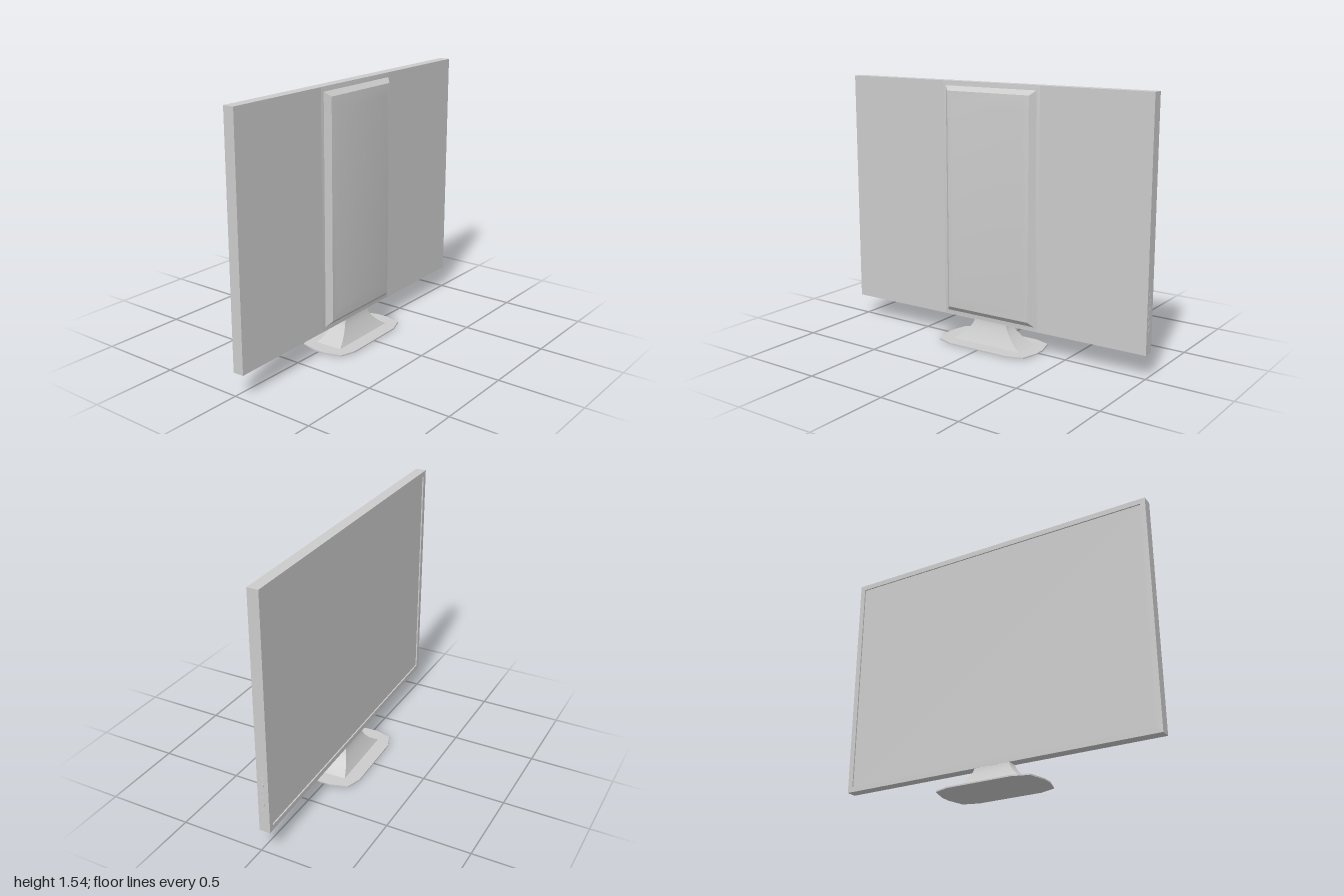
import * as THREE from 'three';
import { toCreasedNormals } from 'three/addons/utils/BufferGeometryUtils.js';

const material = new THREE.MeshStandardMaterial({ color: 0xcccccc });

function add(parent, name, geometry, x = 0, y = 0, z = 0) {
  const mesh = new THREE.Mesh(geometry, material);
  mesh.name = name;
  mesh.position.set(x, y, z);
  parent.add(mesh);
  return mesh;
}

// Joins rectangles [halfX, low, high, z] stacked along +z, and caps the last one.
function loftRectangles(rings, crease) {
  const positions = [];
  const index = [];
  for (const [w, low, high, z] of rings) {
    positions.push(-w, low, z, w, low, z, w, high, z, -w, high, z);
  }
  for (let r = 0; r < rings.length - 1; r++) {
    for (let i = 0; i < 4; i++) {
      const a = r * 4 + i, b = r * 4 + (i + 1) % 4;
      index.push(a, b, b + 4, a, b + 4, a + 4);
    }
  }
  const t = (rings.length - 1) * 4;
  index.push(t, t + 1, t + 2, t, t + 2, t + 3);
  const geometry = new THREE.BufferGeometry();
  geometry.setAttribute('position', new THREE.Float32BufferAttribute(positions, 3));
  geometry.setIndex(index);
  return toCreasedNormals(geometry, crease);
}

function rectanglePath(path, w, h) {
  path.moveTo(-w, -h);
  path.lineTo(w, -h);
  path.lineTo(w, h);
  path.lineTo(-w, h);
  path.closePath();
  return path;
}

export function createModel() {
  const model = new THREE.Group();
  model.name = 'monitor';
  // The whole monitor is turned slightly on its base
  const turned = new THREE.Group();
  turned.name = 'turnedMonitor';
  turned.rotation.y = 0.0275;
  model.add(turned);

  // Panel, with the screen recessed inside a thin bezel at the back (-z)
  const bottom = 0.135, top = 1.54;
  const middle = (bottom + top) / 2, half = (top - bottom) / 2;
  const recess = 0.008;
  add(turned, 'panelAndScreen', new THREE.BoxGeometry(2, half * 2, 0.065 - recess), 0, middle, recess / 2);
  const frame = rectanglePath(new THREE.Shape(), 1, half);
  frame.holes.push(rectanglePath(new THREE.Path(), 0.968, half - 0.032));
  add(turned, 'bezel', new THREE.ExtrudeGeometry(frame, { depth: recess, bevelEnabled: false }), 0, middle, -0.0325);

  // Raised housing: soft skirt, steep bevel, gently domed cover
  add(turned, 'rearHousing', loftRectangles([
    [0.325, 0.14, 1.538, 0.0326],
    [0.305, 0.162, 1.513, 0.036],
    [0.275, 0.193, 1.486, 0.066],
    [0.235, 0.27, 1.42, 0.073],
  ], 0.5));

  // Column of buttons on the left edge
  for (let i = 0; i < 6; i++) {
    add(turned, 'button', new THREE.BoxGeometry(0.006, 0.016, 0.022), 0.999, 0.27 + i * 0.0405, 0.003);
  }

  // Flared neck, lofted upwards along a concave curve
  const rings = [];
  const flare = new THREE.CatmullRomCurve3([
    new THREE.Vector3(0.236, 0.006, 0.085),
    new THREE.Vector3(0.195, 0.032, 0.071),
    new THREE.Vector3(0.15, 0.072, 0.052),
    new THREE.Vector3(0.118, 0.115, 0.036),
    new THREE.Vector3(0.108, 0.145, 0.03),
  ]);
  for (const p of flare.getPoints(12)) rings.push([p.x, -p.z, p.z, p.y]);
  const neck = loftRectangles(rings, 0.5);
  neck.rotateX(-Math.PI / 2);
  add(turned, 'neck', neck);

  // Thin foot plate with clipped corners
  const corner = [[0.322, 0.035], [0.293, 0.137], [0.2, 0.168]];
  const mirrored = corner.map(([x, z]) => [-x, z]).reverse();
  const outline = [...corner, ...mirrored];
  outline.push(...outline.map(([x, z]) => [-x, -z]));
  const foot = new THREE.ExtrudeGeometry(
    new THREE.Shape(outline.map(([x, z]) => new THREE.Vector2(x, z))),
    { depth: 0.008, bevelEnabled: false });
  foot.rotateX(-Math.PI / 2);
  add(turned, 'footPlate', foot);

  return model;
}
